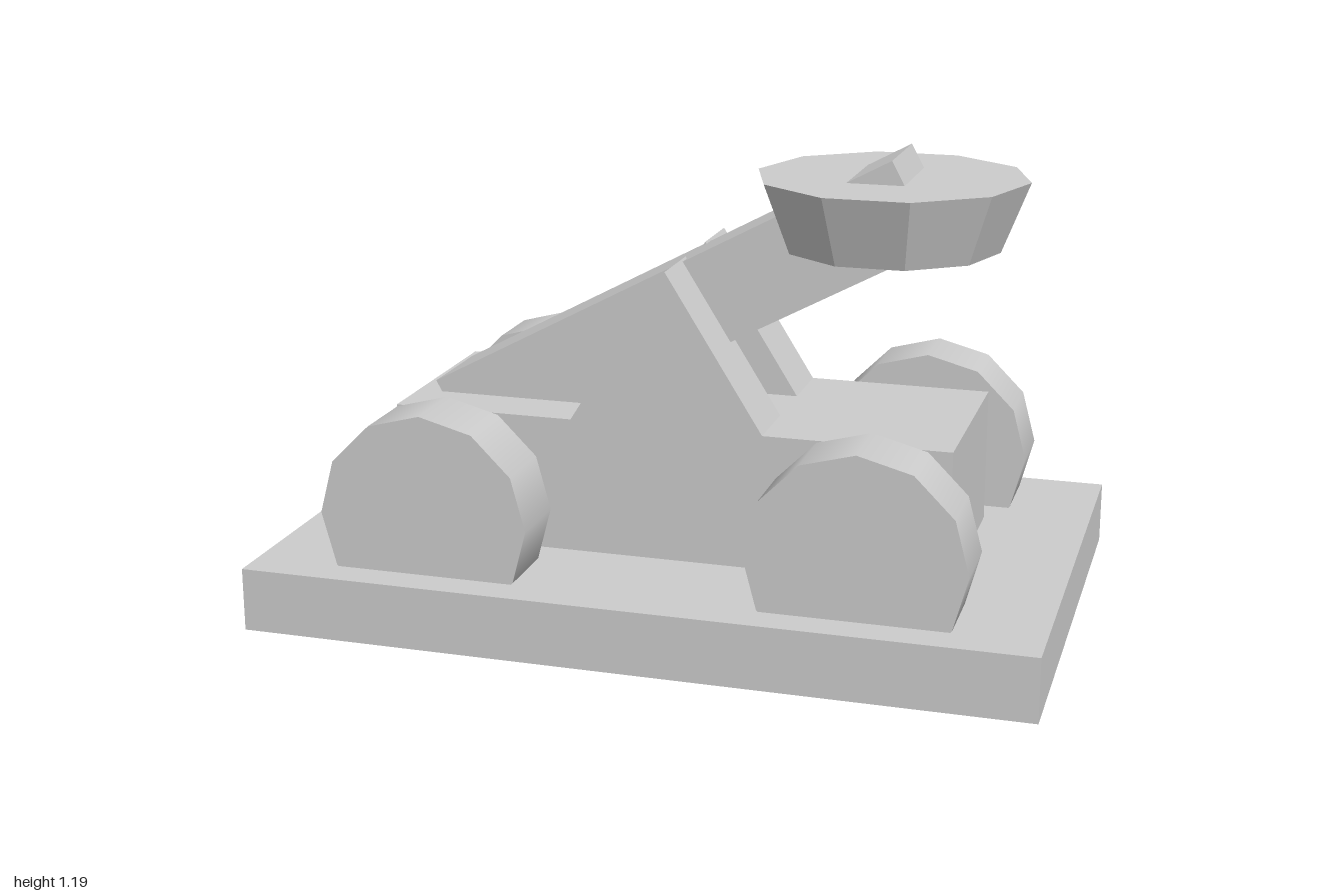
import * as THREE from 'three';

export function createModel() {
  const model = new THREE.Group();
  model.name = 'catapult';
  const grey = new THREE.MeshStandardMaterial({ color: 0xcccccc });
  grey.name = 'plain grey';

  const add = (name, geometry, x, y, z) => {
    const mesh = new THREE.Mesh(geometry, grey);
    mesh.name = name;
    mesh.position.set(x, y, z);
    model.add(mesh);
    return mesh;
  };

  // Ground slab and chassis block
  const baseTop = 0.163, bodyTop = 0.513;
  add('base', new THREE.BoxGeometry(2, baseTop, 1.27), 0, baseTop / 2, 0);
  add('chassis', new THREE.BoxGeometry(1.45, bodyTop - baseTop, 0.544), 0, (baseTop + bodyTop) / 2, 0);

  // Two triangular supports with a slot between them
  const triangle = new THREE.Shape([
    new THREE.Vector2(-0.25, 0),
    new THREE.Vector2(0.25, 0),
    new THREE.Vector2(0, 0.398),
  ]);
  const support = new THREE.ExtrudeGeometry(triangle, { depth: 0.182, bevelEnabled: false });
  add('leftSupport', support, 0, bodyTop, 0.09);
  add('rightSupport', support, 0, bodyTop, -0.272);

  // Wheels, sunk into the slab
  const wheel = new THREE.CylinderGeometry(0.272, 0.272, 0.182, 12).rotateX(Math.PI / 2);
  for (const x of [-0.545, 0.545]) {
    for (const z of [-0.456, 0.456]) {
      add((x < 0 ? 'rear' : 'front') + (z < 0 ? 'Right' : 'Left') + 'Wheel', wheel, x, 0.303, z);
    }
  }

  // Throwing arm: placed by the two ends of its top edge
  const low = new THREE.Vector2(-0.675, 0.542), high = new THREE.Vector2(0.53, 1.188);
  const along = high.clone().sub(low);
  const angle = along.angle(), thick = 0.235;
  const mid = low.clone().add(high).multiplyScalar(0.5);
  const arm = add('throwingArm', new THREE.BoxGeometry(along.length(), thick, 0.254),
    mid.x + Math.sin(angle) * thick / 2, mid.y - Math.cos(angle) * thick / 2, 0);
  arm.rotation.z = angle;

  // Faceted bucket at the end of the arm
  const bucket = new THREE.CylinderGeometry(0.343, 0.274, 0.178, 10).rotateY(Math.PI / 2).toNonIndexed();
  bucket.computeVertexNormals();
  add('bucket', bucket, 0.508, 1.039, 0);

  return model;
}
